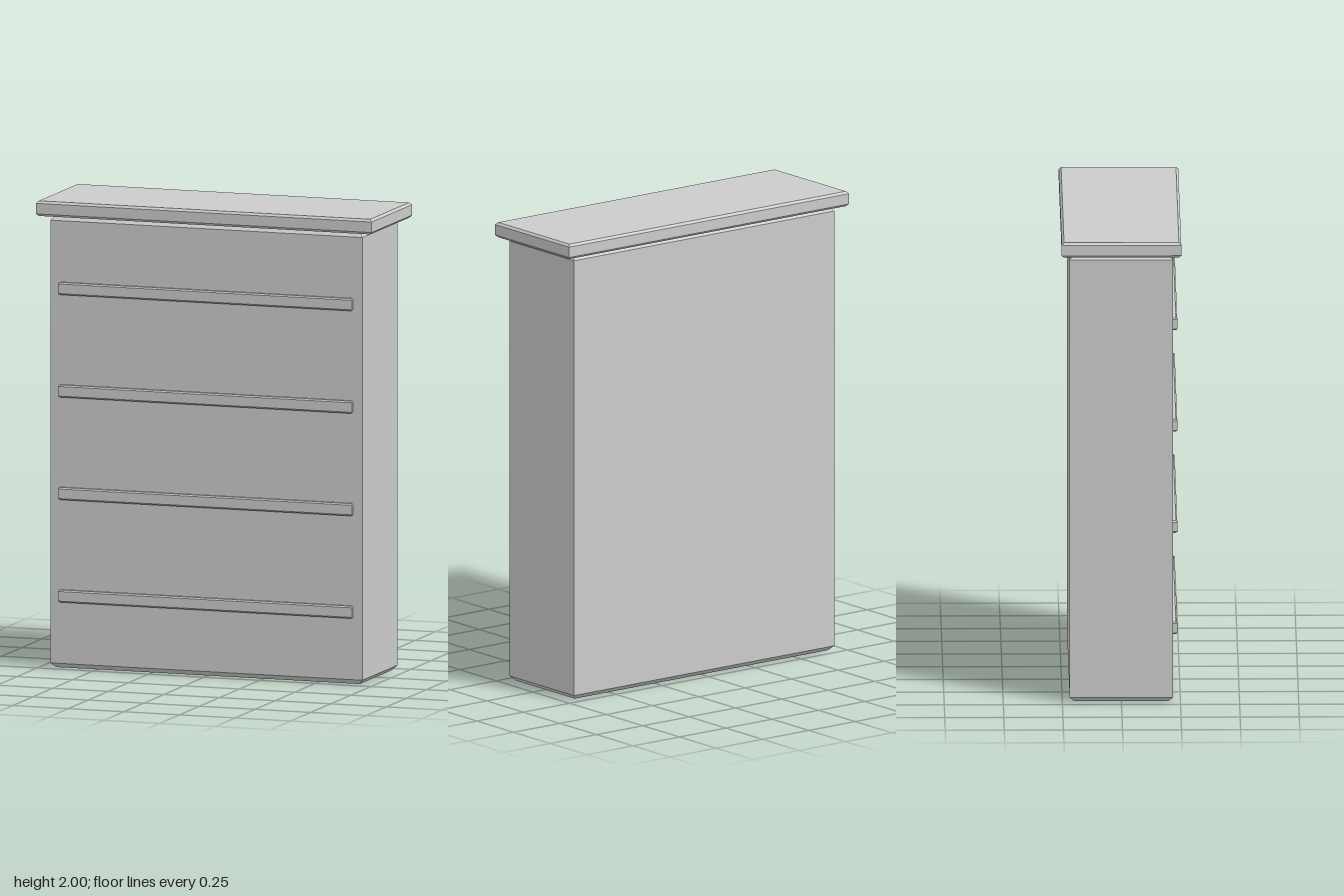
import * as THREE from 'three';

const material = new THREE.MeshStandardMaterial({ color: 0xcccccc, flatShading: true });

// Box whose top and bottom rims are chamfered by c on all four sides
function chamferedBox(name, w, h, d, c) {
  const geometry = new THREE.BoxGeometry(w, h, d, 1, 3, 1);
  const p = geometry.attributes.position;
  for (let i = 0; i < p.count; i++) {
    const y = p.getY(i);
    if (Math.abs(y) > h * 0.4) {
      p.setX(i, p.getX(i) - Math.sign(p.getX(i)) * c);
      p.setZ(i, p.getZ(i) - Math.sign(p.getZ(i)) * c);
    } else {
      p.setY(i, Math.sign(y) * (h / 2 - c));
    }
  }
  geometry.computeVertexNormals();
  const mesh = new THREE.Mesh(geometry, material);
  mesh.name = name;
  return mesh;
}

export function createModel() {
  const model = new THREE.Group();
  model.name = 'cabinet';

  // Main body
  const body = chamferedBox('body', 1.404, 1.936, 0.438, 0.02);
  body.position.y = 0.968;
  model.add(body);

  // Overhanging top slab
  const top = chamferedBox('top', 1.51, 0.065, 0.506, 0.01);
  top.position.y = 1.9675;
  model.add(top);

  // Four horizontal rails across the front
  for (let i = 0; i < 4; i++) {
    const rail = chamferedBox(`frontRail${i + 1}`, 1.32, 0.053, 0.036, 0.006);
    rail.position.set(0, 0.31 + i * 0.439, 0.219);
    model.add(rail);
  }

  return model;
}
